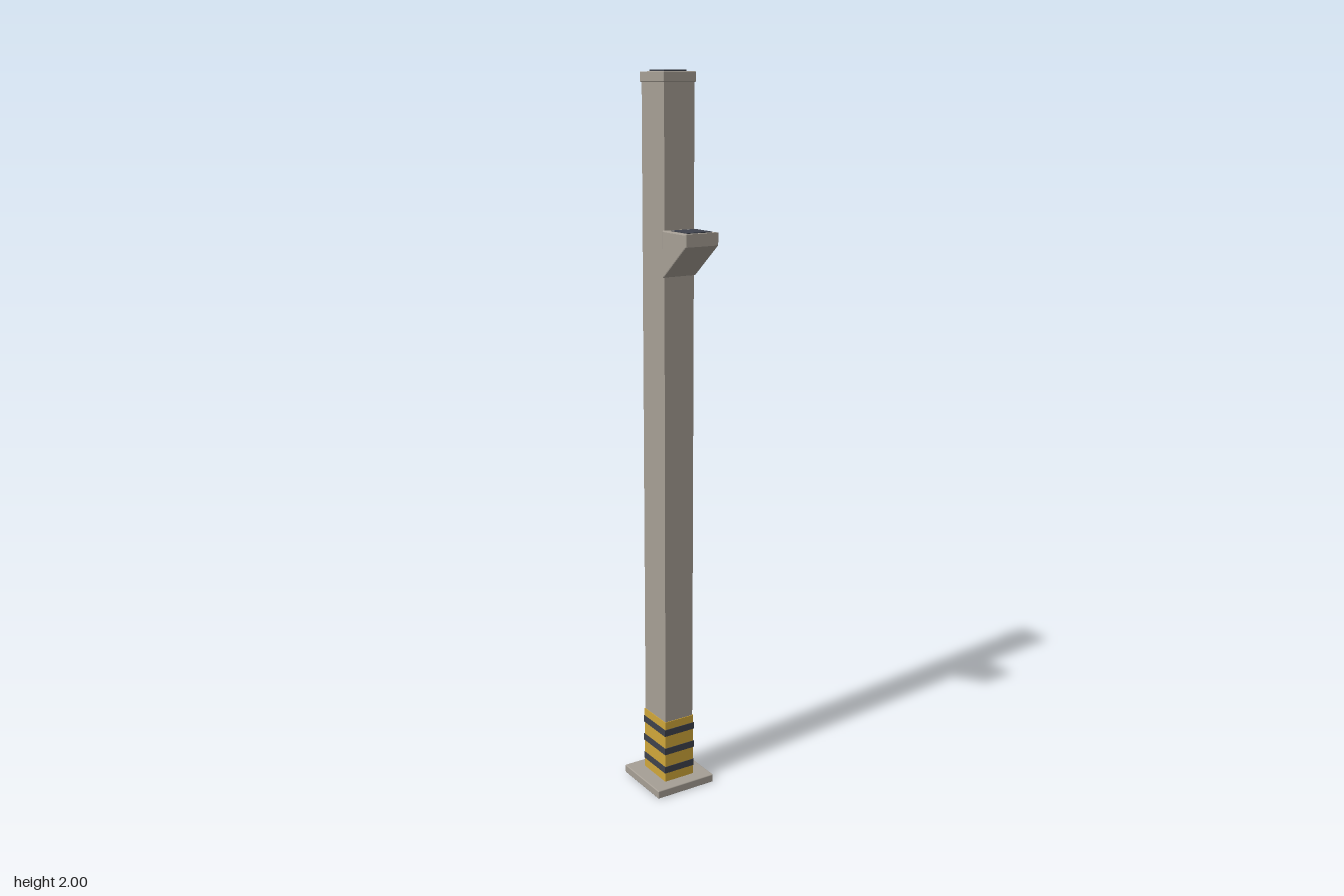
import * as THREE from 'three';
import { RoundedBoxGeometry } from 'three/addons/geometries/RoundedBoxGeometry.js';

const AXIS_Z = -0.036; // centre line of the post

function material(name, color) {
  const m = new THREE.MeshStandardMaterial({ color });
  m.name = name;
  return m;
}

export function createModel() {
  const group = new THREE.Group();
  const grey = material('warm grey metal', 0xa69f95);
  const yellow = material('safety yellow', 0xd0a63a);
  const dark = material('dark slate', 0x3e424c);

  const add = (name, geometry, mat) => {
    const mesh = new THREE.Mesh(geometry, mat);
    mesh.name = name;
    group.add(mesh);
    return mesh;
  };

  // Box spanning y0..y1; rounded when a radius is given
  const block = (name, w, d, y0, y1, z, mat, radius = 0) => {
    const h = y1 - y0;
    const geometry = radius
      ? new RoundedBoxGeometry(w, h, d, 2, radius)
      : new THREE.BoxGeometry(w, h, d);
    add(name, geometry, mat).position.set(0, (y0 + y1) / 2, z);
  };

  // Foot plate and post
  block('basePlate', 0.187, 0.187, 0, 0.024, AXIS_Z, grey, 0.003);
  block('post', 0.091, 0.109, 0.02, 1.972, AXIS_Z, grey);

  // Yellow warning sleeve with dark bands
  block('warningSleeve', 0.095, 0.113, 0.022, 0.21, AXIS_Z, yellow);
  [0.061, 0.119, 0.177].forEach((y, i) =>
    block('warningBand' + (i + 1), 0.098, 0.116, y - 0.01, y + 0.01, AXIS_Z, dark));

  // Cap with inset panel
  block('cap', 0.098, 0.116, 1.97, 1.996, AXIS_Z - 0.001, grey, 0.002);
  block('capPanel', 0.068, 0.069, 1.993, 2.0, AXIS_Z, dark);

  // Wedge bracket on the front, profile drawn in z and y
  const b = 0.003;
  const profile = new THREE.Shape();
  profile.moveTo(0.015, 1.6);
  profile.lineTo(0.015, 1.478);
  profile.lineTo(0.022, 1.48);
  profile.lineTo(0.127, 1.567);
  profile.lineTo(0.127, 1.6);
  profile.closePath();
  const wedge = new THREE.ExtrudeGeometry(profile, {
    depth: 0.1 - 2 * b, bevelEnabled: true, bevelSize: b,
    bevelThickness: b, bevelOffset: -b, bevelSegments: 2,
  });
  wedge.translate(0, 0, -0.05 + b);
  wedge.rotateY(-Math.PI / 2);
  add('bracket', wedge, grey);
  block('bracketPanel', 0.074, 0.077, 1.596, 1.602, 0.0765, dark);

  return group;
}
